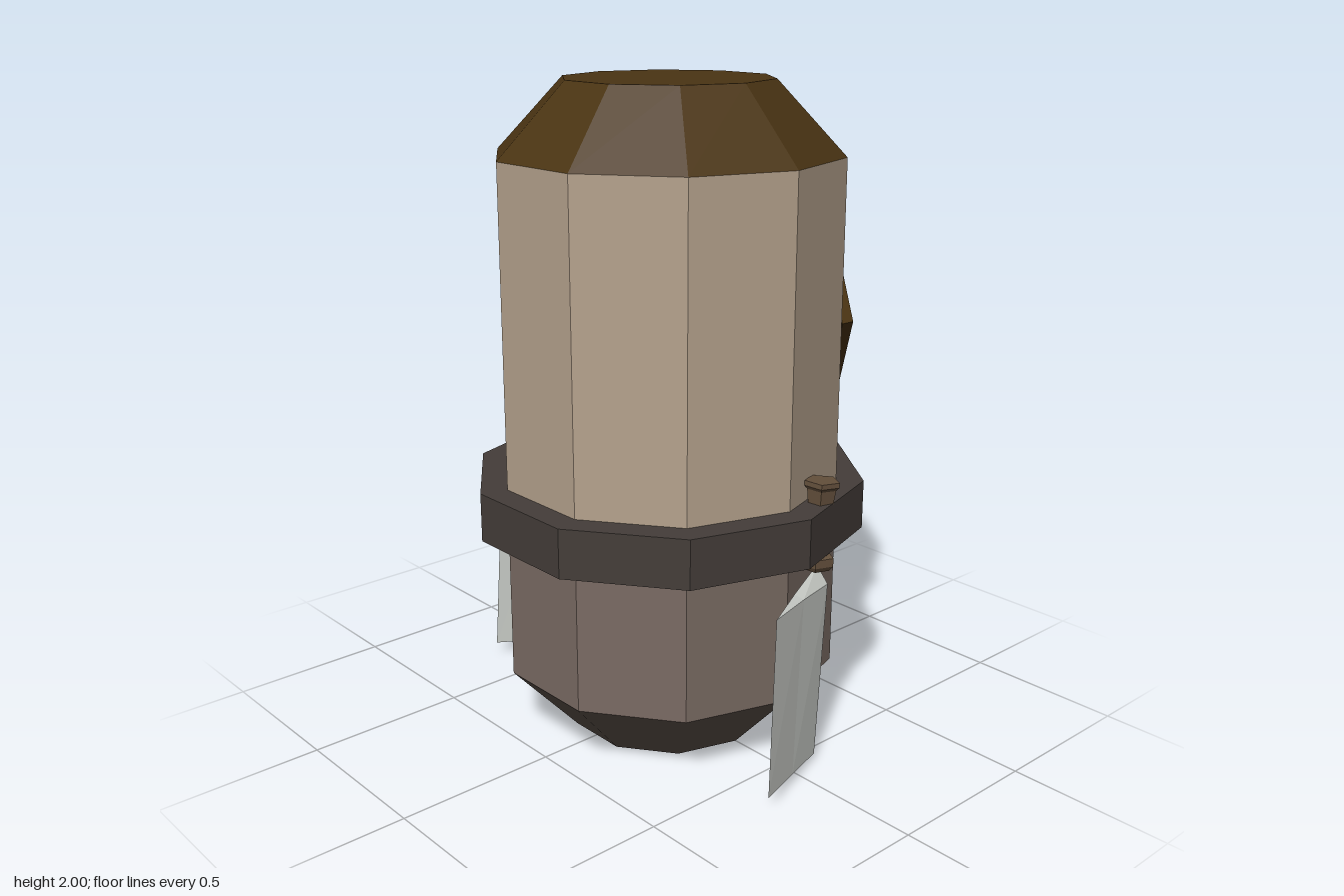
import * as THREE from 'three';

const material = (color) => new THREE.MeshStandardMaterial({ color, flatShading: true });
const brown = material(0x4a3413), tan = material(0xb5a28d), umber = material(0x7a6b63);
const cap = material(0x5e534b), iron = material(0x443d39), copper = material(0x64503c), steel = material(0xcccfca);

const SIDES = 10;

function part(name, geometry, mat) {
  const mesh = new THREE.Mesh(geometry, mat);
  mesh.name = name;
  return mesh;
}

// Ten-sided closed drum between two heights
function drum(name, y0, y1, r0, r1, mat) {
  const g = new THREE.CylinderGeometry(r1, r0, y1 - y0, SIDES);
  g.translate(0, (y0 + y1) / 2, 0);
  return part(name, g, mat);
}

// Closed solid between two matching loops, counter-clockwise seen from the side of b
function loft(a, b) {
  const n = a.length, index = [];
  for (let i = 0; i < n; i++) {
    const j = (i + 1) % n;
    index.push(i, j, n + j, i, n + j, n + i);
  }
  const face = (p, q, r) => index.push(n + p, n + q, n + r, p, r, q);
  for (let i = 0, j = n - 1; i + 1 < j; i++, j--) {
    face(i, i + 1, j);
    if (i + 1 < j - 1) face(i + 1, j - 1, j);
  }
  const g = new THREE.BufferGeometry();
  g.setAttribute('position', new THREE.Float32BufferAttribute([...a, ...b].flat(), 3));
  g.setIndex(index);
  const flat = g.toNonIndexed();
  flat.computeVertexNormals();
  return flat;
}

export function createModel() {
  const model = new THREE.Group();
  model.name = 'barrel';

  // Body, bottom to top
  model.add(
    drum('bottomCap', 0, 0.22, 0.315, 0.52, cap),
    drum('lowerBody', 0.22, 0.745, 0.52, 0.52, umber),
    drum('upperBody', 0.745, 1.785, 0.52, 0.52, tan),
    drum('topCap', 1.785, 2, 0.52, 0.315, brown),
    drum('collar', 0.67, 0.82, 0.603, 0.603, iron)
  );

  // Shield plate folded over three side faces
  const outline = [
    [0.31, 1.3, 0.42], [0.495, 0.82, 0.16], [0.495, 0.82, -0.16],
    [0.31, 1.3, -0.42], [0.495, 1.54, -0.16], [0.495, 1.54, 0.16]
  ];
  model.add(part('shieldPlate', loft(outline, outline.map(([x, y, z]) => [x + 0.047, y, z])), brown));

  // Fin and its pin, front and back
  const finTop = [[-0.18, 0.585, 0.65], [-0.01, 0.575, 0.593], [0.14, 0.565, 0.548], [0.135, 0.615, 0.508], [-0.03, 0.592, 0.575]];
  const finBottom = [[-0.21, 0.045, 0.663], [-0.05, 0.033, 0.605], [0.1, 0.02, 0.552], [0.1, 0.03, 0.52], [-0.07, 0.04, 0.59]];
  const pinProfile = [
    [0, -0.13], [0.042, -0.13], [0.053, -0.115], [0.053, -0.09], [0.038, -0.075],
    [0.038, 0.07], [0.044, 0.115], [0.053, 0.125], [0.053, 0.14], [0, 0.14]
  ].map(([r, y]) => new THREE.Vector2(r, y));

  for (const s of [1, -1]) {
    const side = new THREE.Group();
    side.name = s > 0 ? 'frontFin' : 'backFin';
    const flip = (loop) => loop.map(([x, y, z]) => [x, y, z * s]);
    const [a, b] = s > 0 ? [finBottom, finTop] : [finTop, finBottom];
    side.add(part('blade', loft(flip(a), flip(b)), steel));

    const start = THREE.MathUtils.degToRad(s > 0 ? 23 : 13);
    const pin = part('pin', new THREE.LatheGeometry(pinProfile, 5, start), copper);
    pin.position.set(0.122, 0.745, 0.522 * s);
    pin.rotation.z = -0.065;
    side.add(pin);
    model.add(side);
  }
  return model;
}
